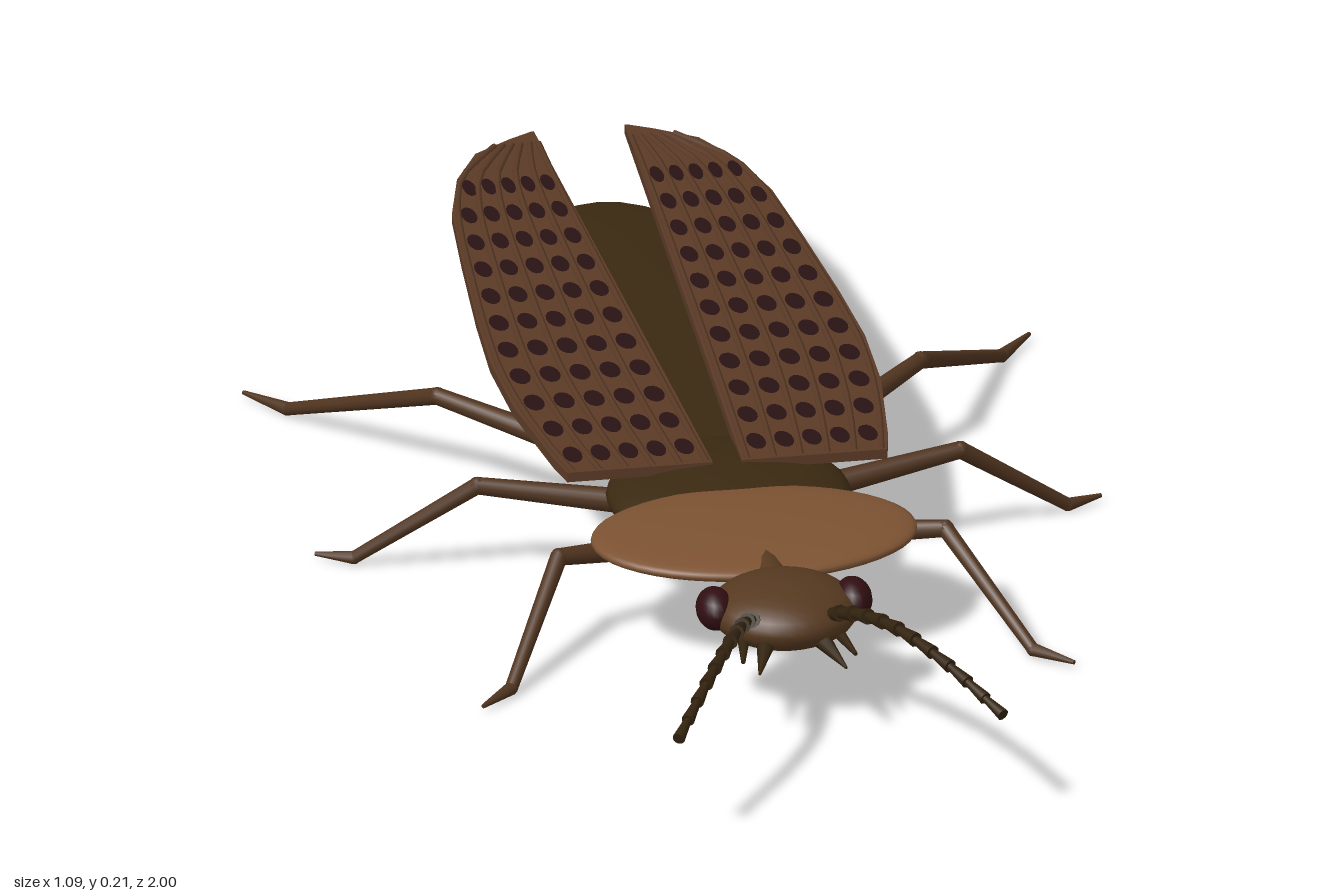
import * as THREE from 'three';
import { mergeGeometries } from 'three/addons/utils/BufferGeometryUtils.js';

const mat = (name, color, side = THREE.FrontSide) => {
  const m = new THREE.MeshStandardMaterial({ color, side });
  m.name = name;
  return m;
};
const V = (x, y, z) => new THREE.Vector3(x, y, z);

// Piecewise-linear lookup in a list of [z, x] pairs (z descending)
function lookup(table, z) {
  for (let i = 1; i < table.length; i++) {
    const [z0, x0] = table[i - 1], [z1, x1] = table[i];
    if (z >= z1) return x0 + (x1 - x0) * (z0 - z) / (z0 - z1);
  }
  return table[table.length - 1][1];
}

// Tapered round bar between two points
function bar(a, b, r0, r1, sides = 10) {
  const d = b.clone().sub(a);
  const g = new THREE.CylinderGeometry(r1, r0, d.length(), sides);
  g.applyQuaternion(new THREE.Quaternion().setFromUnitVectors(V(0, 1, 0), d.normalize()));
  const c = a.clone().add(b).multiplyScalar(0.5);
  return g.translate(c.x, c.y, c.z);
}

function ball(p, rx, ry = rx, rz = rx, seg = 32) {
  return new THREE.SphereGeometry(1, seg, Math.ceil(seg / 2)).scale(rx, ry, rz).translate(p.x, p.y, p.z);
}

// Wing case outline
const INNER = [[0.13, 0.02], [-1, 0.063]];
const OUTER = [[0.13, 0.222], [0.08, 0.232], [-0.1, 0.255], [-0.25, 0.26], [-0.4, 0.252],
  [-0.6, 0.236], [-0.75, 0.222], [-0.86, 0.195], [-0.94, 0.155], [-0.98, 0.1], [-1, 0.066]];
const TOP = 0.172;
const across = (z, f) => lookup(INNER, z) + f * (lookup(OUTER, z) - lookup(INNER, z));

export function createModel() {
  const root = new THREE.Group();
  root.name = 'beetle';
  const shield = mat('tan brown', 0x7c5232);
  const wing = mat('wing brown', 0x5a3a26);
  const limb = mat('leg brown', 0x50341f);
  const skull = mat('head brown', 0x563920);
  const dark = mat('dark olive brown', 0x3a2911);
  const horn = mat('antenna brown', 0x33230f);
  const eyeMat = mat('dark red', 0x300e12);
  const pitMat = mat('pit black', 0x281214, THREE.DoubleSide);

  const add = (name, geo, material) => {
    const m = new THREE.Mesh(geo, material);
    m.name = name;
    root.add(m);
    return m;
  };

  // Body
  add('head', ball(V(0, 0.142, 0.562), 0.102, 0.045, 0.1), skull);
  add('neck', bar(V(0, 0.145, 0.4), V(0, 0.145, 0.5), 0.024, 0.024, 16), skull);
  add('thorax', ball(V(0, 0.127, 0.14), 0.168, 0.042, 0.17), dark);
  const abdomen = ball(V(0, 0, 0), 0.2, 0.029, 0.52, 40);
  add('abdomen', abdomen.translate(0, 0.119, -0.345), dark);

  // Neck shield: flattened ellipsoid with a blunt rim
  const plate = new THREE.SphereGeometry(1, 48, 24);
  const p = plate.attributes.position;
  for (let i = 0; i < p.count; i++) {
    const y = p.getY(i);
    p.setY(i, Math.sign(y) * Math.pow(Math.abs(y), 0.75));
  }
  plate.scale(0.225, 0.019, 0.148).translate(0, 0.153, 0.333);
  plate.computeVertexNormals();
  add('neckShield', plate, shield);

  for (const s of [1, -1]) {
    const side = s > 0 ? 'left' : 'right';
    const P = ([x, y, z]) => V(s * x, y, z);

    add(side + 'Eye', ball(V(s * 0.096, 0.15, 0.562), 0.026, 0.029, 0.038, 20), eyeMat);

    // Mouthparts
    add(side + 'Mandible', bar(P([0.035, 0.128, 0.625]), P([0.06, 0.113, 0.708]), 0.015, 0.002), horn);
    add(side + 'Palp', bar(P([0.065, 0.125, 0.61]), P([0.078, 0.12, 0.68]), 0.009, 0.003), horn);

    // Beaded antenna: flared segments along an arching curve
    const curve = new THREE.CatmullRomCurve3([[0.05, 0.155, 0.62], [0.075, 0.185, 0.69],
      [0.115, 0.204, 0.79], [0.165, 0.192, 0.89], [0.225, 0.156, 0.995]].map(P));
    const beads = [];
    const n = 11;
    for (let i = 0; i < n; i++) {
      const r = 0.012 - 0.0035 * i / n;
      beads.push(bar(curve.getPointAt(i / n), curve.getPointAt((i + 1) / n), r * 0.6, r));
    }
    add(side + 'Antenna', mergeGeometries(beads), horn);

    // Legs: hip, knee, ankle, toe
    const legs = {
      Front: [[0.08, 0.1, 0.23], [0.268, 0.133, 0.318], [0.362, 0.012, 0.472], [0.41, 0.011, 0.522]],
      Middle: [[0.08, 0.103, 0.11], [0.335, 0.133, 0.064], [0.495, 0.012, 0.004], [0.545, 0.012, -0.018]],
      Hind: [[0.09, 0.1, -0.01], [0.335, 0.133, -0.24], [0.495, 0.012, -0.5], [0.545, 0.012, -0.565]],
    };
    for (const [name, pts] of Object.entries(legs)) {
      const [hip, knee, ankle, toe] = pts.map(P);
      add(side + name + 'Leg', mergeGeometries([
        ball(hip, 0.022, 0.018, 0.022, 12),
        bar(hip, knee, 0.019, 0.012),
        ball(knee, 0.0125, 0.0125, 0.0125, 10),
        bar(knee, ankle, 0.012, 0.009),
        ball(ankle, 0.0095, 0.0095, 0.0095, 10),
        bar(ankle, toe, 0.0095, 0.003),
      ]), limb);
    }

    // Wing case: thin flat plate
    const outline = [...OUTER, ...[...INNER].reverse()].map(([z, x]) => new THREE.Vector2(s * x, z));
    const geo = new THREE.ExtrudeGeometry(new THREE.Shape(outline), { depth: 0.014, bevelEnabled: false });
    add(side + 'WingCase', geo.rotateX(Math.PI / 2).translate(0, TOP, 0), wing);

    // Lengthwise ridges between the rows of pits
    const ridges = [];
    for (let k = 0; k <= 5; k++) {
      const f = 0.04 + 0.92 * k / 5;
      const pts = [];
      for (let i = 0; i <= 12; i++) {
        const z = 0.13 - 1.09 * i / 12;
        pts.push(V(s * across(z, f), TOP, z));
      }
      ridges.push(new THREE.TubeGeometry(new THREE.CatmullRomCurve3(pts), 24, 0.0045, 6));
    }
    add(side + 'WingRidges', mergeGeometries(ridges), wing);

    // Dark oval pits in a grid
    const pits = [];
    for (let row = 0; row < 11; row++) {
      const z = 0.075 - 0.09 * row;
      const w = across(z, 1) - across(z, 0);
      for (let k = 0; k < 5; k++) {
        const x = s * across(z, 0.132 + 0.184 * k);
        pits.push(new THREE.CircleGeometry(1, 14).scale(0.062 * w, 0.027, 1)
          .rotateX(-Math.PI / 2).translate(x, TOP + 0.002, z));
      }
    }
    add(side + 'WingPits', mergeGeometries(pits), pitMat);
  }
  return root;
}
